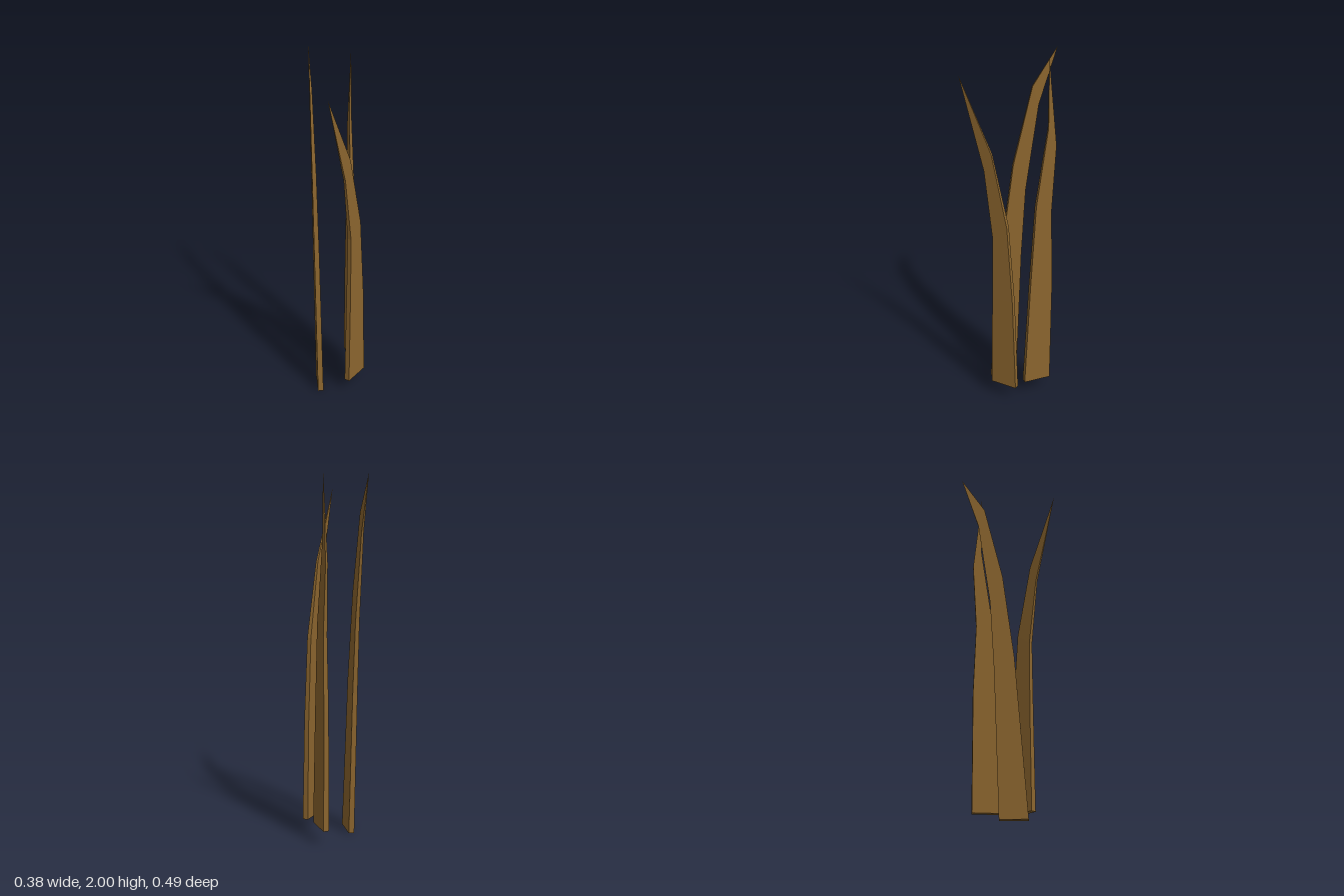
import * as THREE from 'three';

const bark = new THREE.MeshStandardMaterial({ color: 0x8b652e });
bark.name = 'ochre brown';

// Half thickness of the blade at each section, from base to the one below the tip
const HALF = [0.0155, 0.0135, 0.011, 0.006];

// Flat curved blade. Edges are [z, y] points; x follows from the plane (base point,
// slope dx/dz) plus a sideways lean that grows with height.
function blade(name, { baseX, baseZ, slope, toward, lean, outer, inner, tip }) {
  const place = ([z, y]) =>
    new THREE.Vector3(baseX + slope * (z - baseZ) + lean * y, y, z);
  const along = new THREE.Vector3(slope, 0, 1).normalize().multiplyScalar(toward);
  const normal = new THREE.Vector3(-along.z, 0, along.x);

  // Four corners per section, counter-clockwise from above
  const rings = outer.map((o, i) => {
    const a = place(o), b = place(inner[i]);
    const n = normal.clone().multiplyScalar(HALF[i]);
    return [a.clone().add(n), b.clone().add(n), b.clone().sub(n), a.clone().sub(n)];
  });
  const point = place(tip);

  const pts = [];
  const quad = (a, b, c, d) => pts.push(a, b, c, a, c, d);
  const [b0, b1, b2, b3] = rings[0];
  quad(b0, b3, b2, b1);
  rings.forEach((ring, i) => {
    const next = rings[i + 1];
    for (let k = 0; k < 4; k++) {
      const m = (k + 1) % 4;
      if (next) quad(ring[k], ring[m], next[m], next[k]);
      else pts.push(ring[k], ring[m], point);
    }
  });

  const geometry = new THREE.BufferGeometry().setFromPoints(pts);
  geometry.computeVertexNormals();
  const mesh = new THREE.Mesh(geometry, bark);
  mesh.name = name;
  return mesh;
}

export function createModel() {
  const group = new THREE.Group();
  group.name = 'driedLeafBlades';

  group.add(
    // Blade on the right, sweeping to the back
    blade('rightBlade', {
      baseX: -0.0165, baseZ: 0.116, slope: 0.443, toward: -1, lean: -0.014,
      outer: [[0.116, 0], [0.057, 0.87], [0.002, 1.35], [-0.09, 1.78]],
      inner: [[-0.019, 0], [-0.041, 0.8], [-0.061, 1.2], [-0.122, 1.68]],
      tip: [-0.21, 1.985],
    }),
    // Nearly upright blade at the back
    blade('backBlade', {
      baseX: 0.11, baseZ: -0.1, slope: 0.628, toward: -1, lean: 0,
      outer: [[-0.1, 0.085], [-0.125, 0.7], [-0.15, 1.2], [-0.203, 1.63]],
      inner: [[-0.23, 0.085], [-0.233, 0.75], [-0.223, 1.15], [-0.242, 1.53]],
      tip: [-0.203, 2],
    }),
    // Blade on the left, sweeping to the front
    blade('leftBlade', {
      baseX: 0.175, baseZ: -0.071, slope: -0.317, toward: 1, lean: 0,
      outer: [[-0.071, 0.085], [-0.05, 0.65], [-0.017, 1.1], [0.071, 1.5]],
      inner: [[0.075, 0.085], [0.068, 0.65], [0.066, 1.03], [0.113, 1.4]],
      tip: [0.249, 1.89],
    }),
  );
  return group;
}
